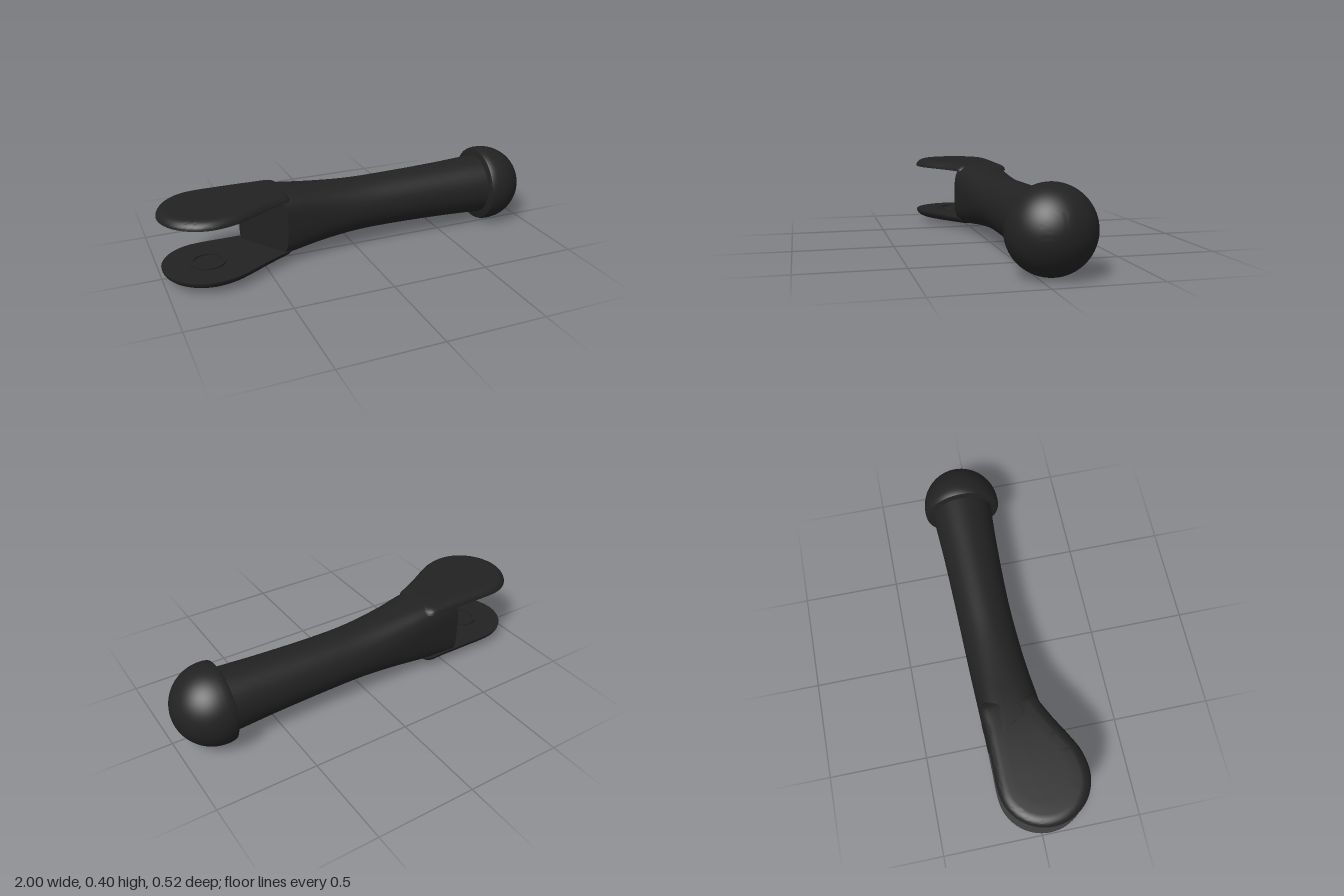
import * as THREE from 'three';
import { mergeVertices, toCreasedNormals } from 'three/addons/utils/BufferGeometryUtils.js';

const MID = 0.204; // height of the mirror plane
// grip stations: x, half height, back z, front z, squareness
const STATIONS = [
  [-1, 0.173, -0.188, 0.108, 4.5],
  [-0.56, 0.173, -0.188, 0.108, 4.5],
  [-0.4, 0.167, -0.192, 0.108, 3.6],
  [-0.2, 0.15, -0.198, 0.09, 2.6],
  [0, 0.139, -0.202, 0.078, 2.1],
  [0.2, 0.139, -0.205, 0.073, 2],
  [0.5, 0.146, -0.213, 0.08, 2],
  [0.76, 0.158, -0.226, 0.094, 2],
];

// smooth interpolation of the station table
function station(x) {
  const last = STATIONS.length - 1;
  let i = 0;
  while (i < last - 1 && x > STATIONS[i + 1][0]) i++;
  const a = STATIONS[i], b = STATIONS[i + 1];
  const p = STATIONS[Math.max(i - 1, 0)], q = STATIONS[Math.min(i + 2, last)];
  const w = b[0] - a[0];
  const t = THREE.MathUtils.clamp((x - a[0]) / w, 0, 1), t2 = t * t, t3 = t2 * t;
  return a.map((v, k) => {
    const m0 = (b[k] - p[k]) / (b[0] - p[0]) * w, m1 = (q[k] - a[k]) / (q[0] - a[0]) * w;
    return (2 * t3 - 3 * t2 + 1) * v + (t3 - 2 * t2 + t) * m0 + (3 * t2 - 2 * t3) * b[k] + (t3 - t2) * m1;
  });
}

// skin over closed rings of [x, y, z] points
function loft(rings, crease = 0.6) {
  const n = rings[0].length, index = [];
  for (let i = 0; i < rings.length - 1; i++) {
    for (let j = 0; j < n; j++) {
      const a = i * n + j, b = i * n + (j + 1) % n;
      index.push(a, b, b + n, a, b + n, a + n);
    }
  }
  const g = new THREE.BufferGeometry();
  g.setAttribute('position', new THREE.Float32BufferAttribute(rings.flat(2), 3));
  g.setIndex(index);
  return toCreasedNormals(mergeVertices(g, 1e-5), crease);
}

// superellipse point of the grip at x
function section(x, t) {
  const [, hy, z0, z1, n] = station(x);
  const power = (v) => Math.sign(v) * Math.pow(Math.abs(v), 2 / n);
  return [x, MID + hy * power(Math.cos(t)), (z0 + z1) / 2 + (z1 - z0) / 2 * power(Math.sin(t))];
}

// slanted slot wall between the two fork plates
const wallX = (z) => -0.56 + Math.max(0, z + 0.14) * 0.69;

function gripGeometry() {
  const N = 96, ROWS = 44, END = 0.76;
  const angles = Array.from({ length: N }, (_, j) => j / N * Math.PI * 2);
  const starts = angles.map((t) => {
    let x = -0.5;
    for (let k = 0; k < 10; k++) x = wallX(section(x, t)[2]);
    return x;
  });
  const rings = [];
  for (let i = 0; i <= ROWS; i++) {
    rings.push(angles.map((t, j) => section(THREE.MathUtils.lerp(starts[j], END, i / ROWS), t)));
  }
  rings.unshift(rings[0].map(([x, , z]) => [x, MID, z])); // closes the slot wall
  return loft(rings);
}

// fork plate: flat inside, rounded outer rim, blended into the grip
function plateGeometry(side) {
  const pts = [];
  for (let k = 0; k <= 10; k++) {
    const a = Math.PI * (1.5 - k / 10); // round end, from the back to the front
    pts.push([-0.78 + 0.22 * Math.cos(a), 0.039 - 0.222 * Math.sin(a + Math.PI)]);
  }
  // replace by an explicit sweep: back, left tip, front
  pts.length = 0;
  for (let k = 0; k <= 10; k++) {
    const a = Math.PI * k / 10;
    pts.push([-0.78 - 0.22 * Math.sin(a), 0.038 - 0.222 * Math.cos(a)]);
  }
  pts.push([-0.68, 0.242], [-0.6, 0.203], [-0.5, 0.146], [-0.42, 0.106], [-0.37, 0.08],
    [-0.35, 0], [-0.35, -0.1], [-0.38, -0.182], [-0.5, -0.185], [-0.65, -0.185]);
  const curve = new THREE.CatmullRomCurve3(pts.map(([x, z]) => new THREE.Vector3(x, 0, z)), true);
  const N = 120;
  const outline = Array.from({ length: N }, (_, j) => {
    const p = curve.getPointAt(j / N), t = curve.getTangentAt(j / N);
    return { x: p.x, z: p.z, nx: t.z, nz: -t.x }; // normal points inward
  });
  const inner = 0.132;
  const place = (x, z, k) => [x, MID + side * THREE.MathUtils.lerp(inner, station(x)[1] - 0.001, k), z];
  const ring = (inset, k, shrink = 1) => outline.map((o) => place(
    -0.7 + (o.x + o.nx * inset + 0.7) * shrink, (o.z + o.nz * inset) * shrink, k));
  const rings = [ring(0, 0, 0), ring(0, 0)];
  for (let i = 1; i <= 8; i++) {
    const a = i / 8 * Math.PI / 2;
    rings.push(ring(0.052 * (1 - Math.cos(a)), Math.sin(a)));
  }
  for (const s of [0.75, 0.5, 0.25, 0]) rings.push(ring(0.052, 1, s));
  if (side < 0) rings.reverse();
  return loft(rings);
}

export function createModel() {
  const model = new THREE.Group();
  model.name = 'leverHandle';
  const material = new THREE.MeshStandardMaterial({ color: 0x222222, side: THREE.DoubleSide });
  const add = (name, geometry) => {
    const mesh = new THREE.Mesh(geometry, material);
    mesh.name = name;
    model.add(mesh);
    return mesh;
  };

  add('grip', gripGeometry());
  add('upperForkPlate', plateGeometry(1));
  add('lowerForkPlate', plateGeometry(-1));

  // domed end knob with a flat, softly edged back
  const profile = [[0, 0.755], [0.19, 0.755], [0.196, 0.758], [0.199, 0.765], [0.202, 0.785]];
  for (let i = 0; i <= 20; i++) {
    const a = i / 20 * Math.PI / 2;
    profile.push([0.202 * Math.cos(a), 0.798 + 0.202 * Math.sin(a)]);
  }
  const lathe = (points, seg) => toCreasedNormals(
    new THREE.LatheGeometry(points.map(([r, y]) => new THREE.Vector2(Math.max(r, 0), y)), seg), 0.6);
  const knob = add('endKnob', lathe(profile, 64));
  knob.rotation.z = -Math.PI / 2;
  knob.position.set(0, MID, -0.062);

  // raised ring around the pivot, inside the lower plate
  const ring = add('pivotRing', lathe([[0.088, 0], [0.088, 0.018], [0.07, 0.018], [0.07, 0]], 48));
  ring.position.set(-0.78, 0.062, 0.04);

  return model;
}
